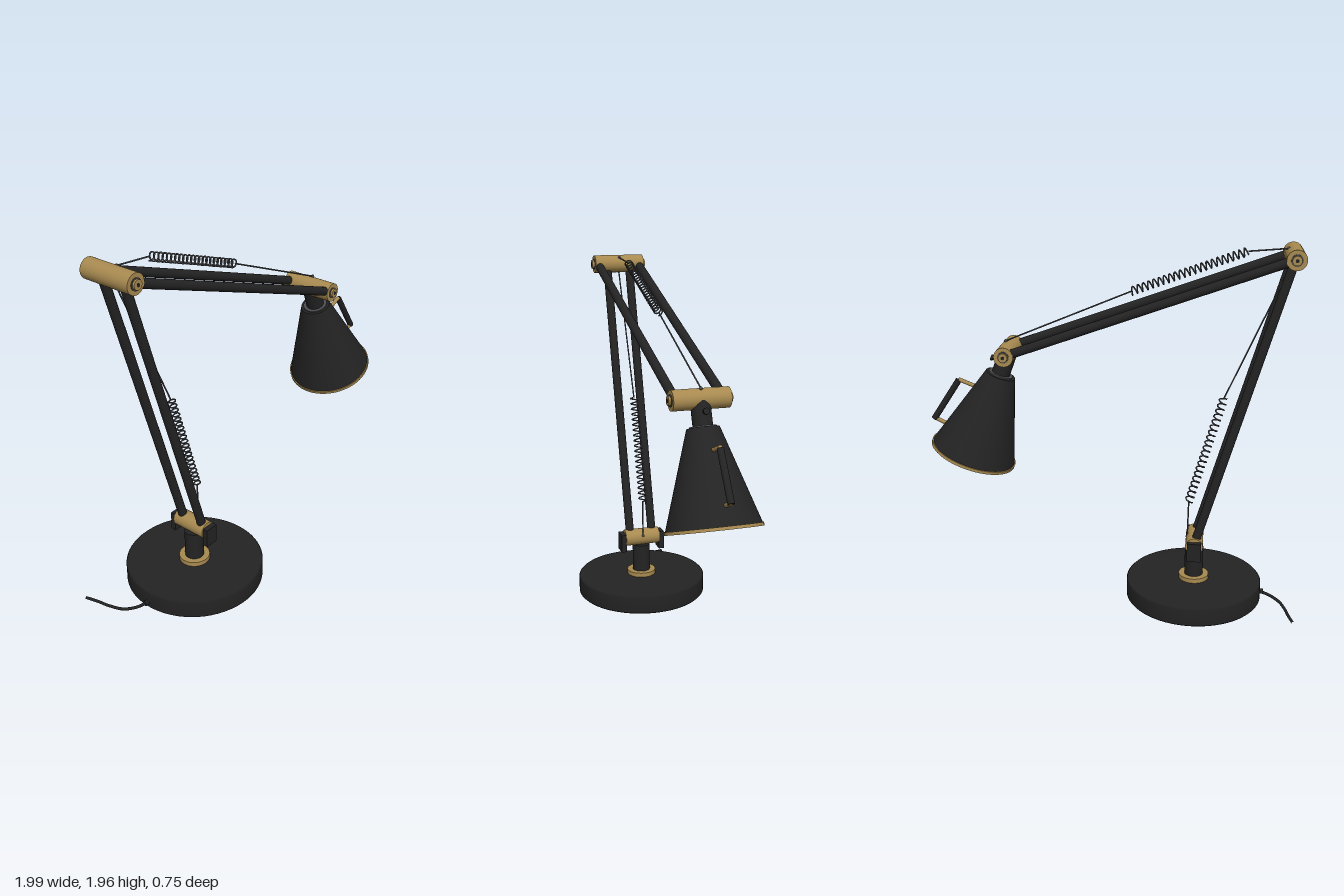
import * as THREE from 'three';

const mat = (name, color, side = THREE.FrontSide) => {
  const m = new THREE.MeshStandardMaterial({ color, side });
  m.name = name;
  return m;
};
const V = (x, y, z = 0) => new THREE.Vector3(x, y, z);

// Helix wound around the segment a-b
class Helix extends THREE.Curve {
  constructor(a, b, radius, turns) {
    super();
    Object.assign(this, { a, b, radius, turns });
    this.side = b.clone().sub(a).normalize().cross(V(0, 0, 1));
  }
  getPoint(t, target = new THREE.Vector3()) {
    const w = t * this.turns * Math.PI * 2;
    return target.lerpVectors(this.a, this.b, t)
      .addScaledVector(this.side, Math.cos(w) * this.radius)
      .add(V(0, 0, Math.sin(w) * this.radius));
  }
}

export function createModel() {
  const black = mat('black enamel', 0x232323);
  const brass = mat('brass', 0xa88a50);
  const steel = mat('dark steel', 0x4c4d50);
  const root = new THREE.Group();
  root.name = 'deskLamp';

  const add = (name, geo, material, parent = root) => {
    const m = new THREE.Mesh(geo, material);
    m.name = name;
    parent.add(m);
    return m;
  };
  // Round bar between two points
  const bar = (name, a, b, r, material, parent = root, sides = 24) => {
    const d = b.clone().sub(a);
    const m = add(name, new THREE.CylinderGeometry(r, r, d.length(), sides), material, parent);
    m.position.copy(a).add(b).multiplyScalar(0.5);
    m.quaternion.setFromUnitVectors(V(0, 1, 0), d.normalize());
    return m;
  };

  const foot = V(-0.455, 0.335), elbow = V(-0.912, 1.905), wrist = V(0.553, 1.382);
  const at = (p, z) => V(p.x, p.y, z);

  // Weighted base with a slightly rounded edge
  const baseProfile = [[0, 0], [0.365, 0], [0.373, 0.008], [0.373, 0.097], [0.365, 0.105], [0, 0.105]];
  const base = add('base', new THREE.LatheGeometry(baseProfile.map(p => new THREE.Vector2(...p)), 64), black);
  base.position.x = foot.x;

  // Collar and post
  bar('baseCollar', V(foot.x, 0.1), V(foot.x, 0.13), 0.083, brass, root, 40);
  bar('post', V(foot.x, 0.12), V(foot.x, 0.29), 0.051, black, root, 32);

  // Foot joint with dark cheeks
  bar('footJoint', at(foot, -0.102), at(foot, 0.102), 0.048, brass, root, 32);
  for (const s of [-1, 1]) {
    const cheek = add('footCheek', new THREE.BoxGeometry(0.076, 0.105, 0.03), black);
    cheek.position.set(foot.x, 0.311, s * 0.115);
  }

  // Elbow and wrist joints with bolts on both ends
  for (const [name, p] of [['elbow', elbow], ['wrist', wrist]]) {
    bar(name + 'Joint', at(p, -0.146), at(p, 0.146), 0.051, brass, root, 40);
    for (const s of [-1, 1]) {
      bar(name + 'Washer', at(p, s * 0.144), at(p, s * 0.15), 0.03, steel);
      bar(name + 'Bolt', at(p, s * 0.144), at(p, s * 0.161), 0.024, brass);
      bar(name + 'BoltSocket', at(p, s * 0.155), at(p, s * 0.163), 0.01, black, root, 6);
    }
  }

  // Paired arms
  for (const s of [-1, 1]) {
    bar('lowerArm', at(foot, s * 0.067), at(elbow, s * 0.067), 0.024, black);
    bar('upperArm', at(elbow, s * 0.121), at(wrist, s * 0.121), 0.024, black);
  }

  // Tension springs: wire, coil, wire
  const tension = (name, p, turns) => {
    bar(name + 'Wire', p[0], p[1], 0.004, steel, root, 8);
    add(name, new THREE.TubeGeometry(new Helix(p[1], p[2], 0.021, turns), turns * 14, 0.0042, 5), steel);
    bar(name + 'Wire', p[2], p[3], 0.004, steel, root, 8);
    for (const q of [p[0], p[3]]) {
      add(name + 'Eyelet', new THREE.SphereGeometry(0.009, 10, 8), steel).position.copy(q);
    }
  };
  tension('upperSpring', [V(-0.88, 1.942), V(-0.68, 1.925), V(-0.095, 1.712), V(0.567, 1.436)], 22);
  tension('lowerSpring', [V(-0.895, 1.86), V(-0.588, 1.155), V(-0.418, 0.56), V(-0.415, 0.35)], 20);
  root.getObjectByName('lowerSpringWire').name = 'lowerSpringTopWire';

  // Lamp head, built upright around the rim centre and then tilted
  const head = new THREE.Group();
  head.name = 'lampHead';
  head.position.set(0.77, 0.797, 0);
  head.rotation.z = THREE.MathUtils.degToRad(20.3);
  root.add(head);
  const shade = add('shade', new THREE.CylinderGeometry(0.08, 0.232, 0.475, 64), black, head);
  shade.position.y = 0.2475;
  bar('shadeRim', V(0, 0), V(0, 0.016), 0.236, brass, head, 64);
  bar('shadeCapRing', V(0, 0.48), V(0, 0.492), 0.066, steel, head, 32);
  bar('neck', V(0, 0.48), V(0, 0.622), 0.049, black, head, 32);
  bar('neckScrew', V(0.03, 0.555), V(0.07, 0.555), 0.009, black, head, 12);
  bar('neckScrewHead', V(0.065, 0.555), V(0.078, 0.555), 0.016, black, head, 16);

  // Grip on two brass brackets
  const gripTop = V(0.833, 1.212), gripEnd = V(0.978, 0.992);
  bar('grip', gripTop, gripEnd, 0.017, black);
  bar('gripBracket', V(0.735, 1.178), V(0.832, 1.217), 0.011, brass, root, 12);
  bar('gripBracket', V(0.9, 0.96), V(0.975, 0.996), 0.011, brass, root, 12);

  // Power cable leaving the base at the side
  bar('cableGland', V(-0.845, 0.034), V(-0.81, 0.034), 0.014, black, root, 16);
  const cable = new THREE.CatmullRomCurve3([
    V(-0.82, 0.034), V(-0.875, 0.024, -0.02), V(-0.93, 0.014, -0.075),
    V(-0.96, 0.011, -0.16), V(-0.972, 0.011, -0.22), V(-0.992, 0.011, -0.295)]);
  add('cable', new THREE.TubeGeometry(cable, 40, 0.008, 10), black);

  return root;
}
